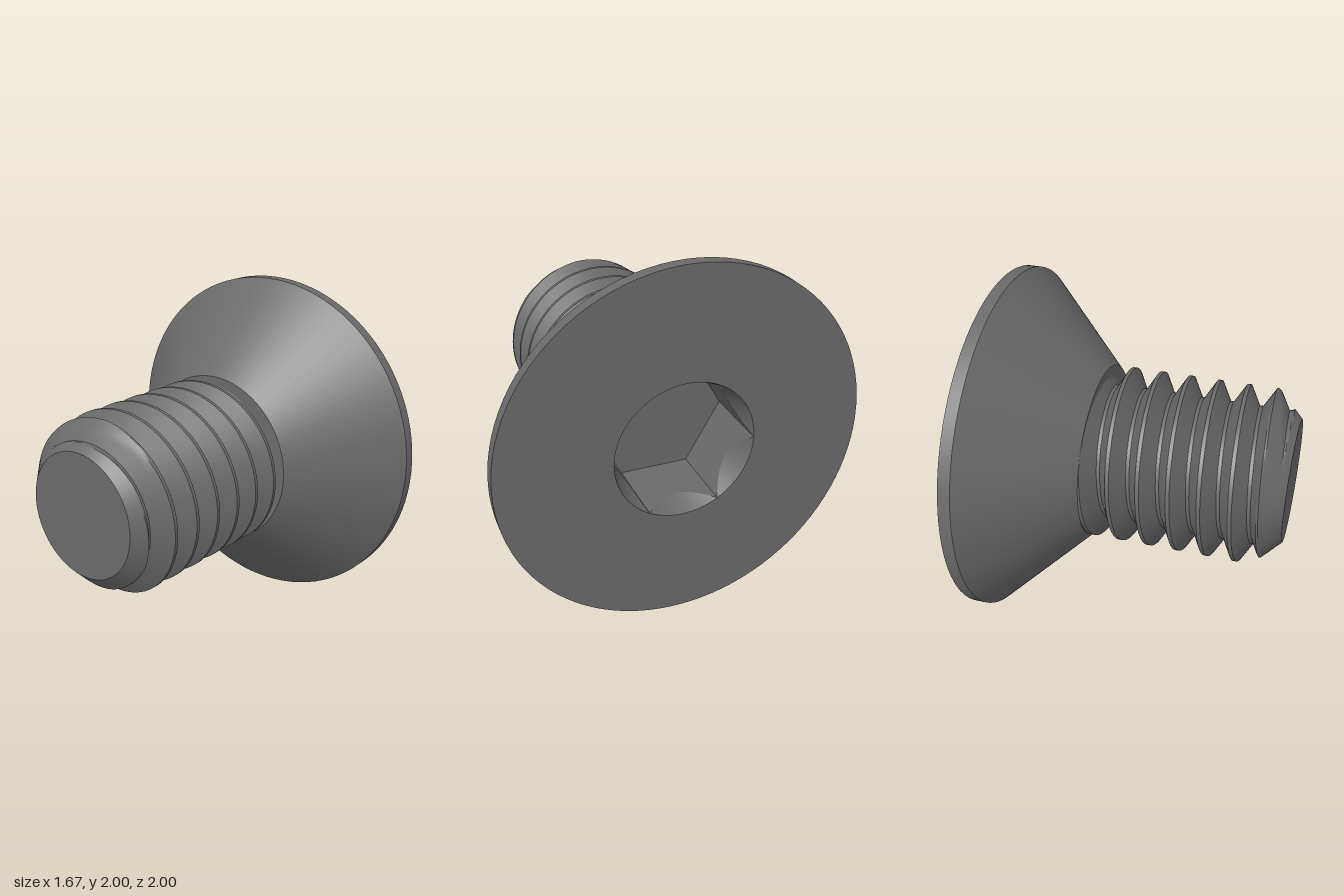
import * as THREE from 'three';
import { toCreasedNormals } from 'three/addons/utils/BufferGeometryUtils.js';
import { ParametricGeometry } from 'three/addons/geometries/ParametricGeometry.js';

const SEG = 96;
const TIP = -0.833, NECK = 0.265, FACE = 0.833, FLOOR = 0.43;
const PITCH = 0.1667, ROOT = 0.39, CREST = 0.5, CREST_AT = -0.53;
const HALF_CREST = 0.0104, FLANK = 0.0635;
const RIM = 0.385, FLAT = RIM * Math.cos(Math.PI / 6), SINK = 0.12;

// Surface of points given as (distance along the screw, radius) for each angle
function around(rows, rule, crease = 0.4) {
  const geo = new ParametricGeometry((u, v, p) => {
    const a = u * Math.PI * 2;
    const [x, r] = rule(a, v);
    p.set(x, r * Math.cos(a), r * Math.sin(a));
  }, SEG, rows);
  return toCreasedNormals(geo, crease);
}

// Thread radius: trapezoid profile on a helix, trimmed by the tip chamfer
function threadRadius(x, a) {
  let d = (x - CREST_AT) / PITCH - a / (Math.PI * 2);
  d = Math.abs(d - Math.round(d)) * PITCH;
  const t = THREE.MathUtils.clamp((d - HALF_CREST) / FLANK, 0, 1);
  return Math.min(CREST + (ROOT - CREST) * t, 0.35 + x - TIP);
}

// Rows follow the corners of the thread profile so its edges stay crisp
function threadGeometry() {
  const marks = [-HALF_CREST, HALF_CREST, HALF_CREST + FLANK,
    PITCH - HALF_CREST - FLANK, PITCH - HALF_CREST];
  const offsets = [];
  for (let k = -3; k <= 5; k++) {
    for (let i = 0; i < 4; i++) {
      const steps = i % 2 ? 6 : 2;
      for (let s = 0; s < steps; s++) {
        offsets.push(k * PITCH + marks[i] + (marks[i + 1] - marks[i]) * s / steps);
      }
    }
  }
  const rows = offsets.length - 1;
  return around(rows, (a, v) => {
    const helix = CREST_AT + PITCH * a / (Math.PI * 2);
    const x = THREE.MathUtils.clamp(helix + offsets[Math.round(v * rows)], TIP, NECK);
    return [x, threadRadius(x, a)];
  });
}

// Hexagon radius, and the depth where the countersink meets the wall
function hexRadius(a) {
  const side = Math.PI / 3;
  return FLAT / Math.cos(a - Math.round(a / side) * side);
}
const sinkX = (a) => FACE - SINK * (RIM - hexRadius(a)) / (RIM - FLAT);

export function createModel() {
  const steel = new THREE.MeshStandardMaterial({ color: 0x6a6a6a, side: THREE.DoubleSide });
  steel.name = 'darkSteel';
  const model = new THREE.Group();
  model.name = 'countersunkScrew';
  const add = (name, geo) => {
    const mesh = new THREE.Mesh(geo, steel);
    mesh.name = name;
    mesh.position.y = 1;
    model.add(mesh);
  };

  // Conical head with a thin rim and a round opening in its face
  const profile = [[0.3, NECK], [0.5, NECK], [1, 0.765], [1, FACE], [RIM, FACE]];
  const head = new THREE.LatheGeometry(profile.map(([r, y]) => new THREE.Vector2(r, y)), SEG);
  head.rotateZ(-Math.PI / 2);
  add('head', toCreasedNormals(head, 0.4));

  // Hexagonal socket
  add('socketCountersink', around(1, (a, v) => (v < 0.5 ? [FACE, RIM] : [sinkX(a), hexRadius(a)])));
  add('socketWalls', around(1, (a, v) => [v < 0.5 ? sinkX(a) : FLOOR, hexRadius(a)]));
  add('socketFloor', new THREE.CircleGeometry(RIM, 6).rotateY(Math.PI / 2).translate(FLOOR, 0, 0));

  // Threaded shank and its flat tip
  add('thread', threadGeometry());
  add('tip', new THREE.CircleGeometry(0.35, SEG).rotateY(-Math.PI / 2).translate(TIP, 0, 0));

  return model;
}
